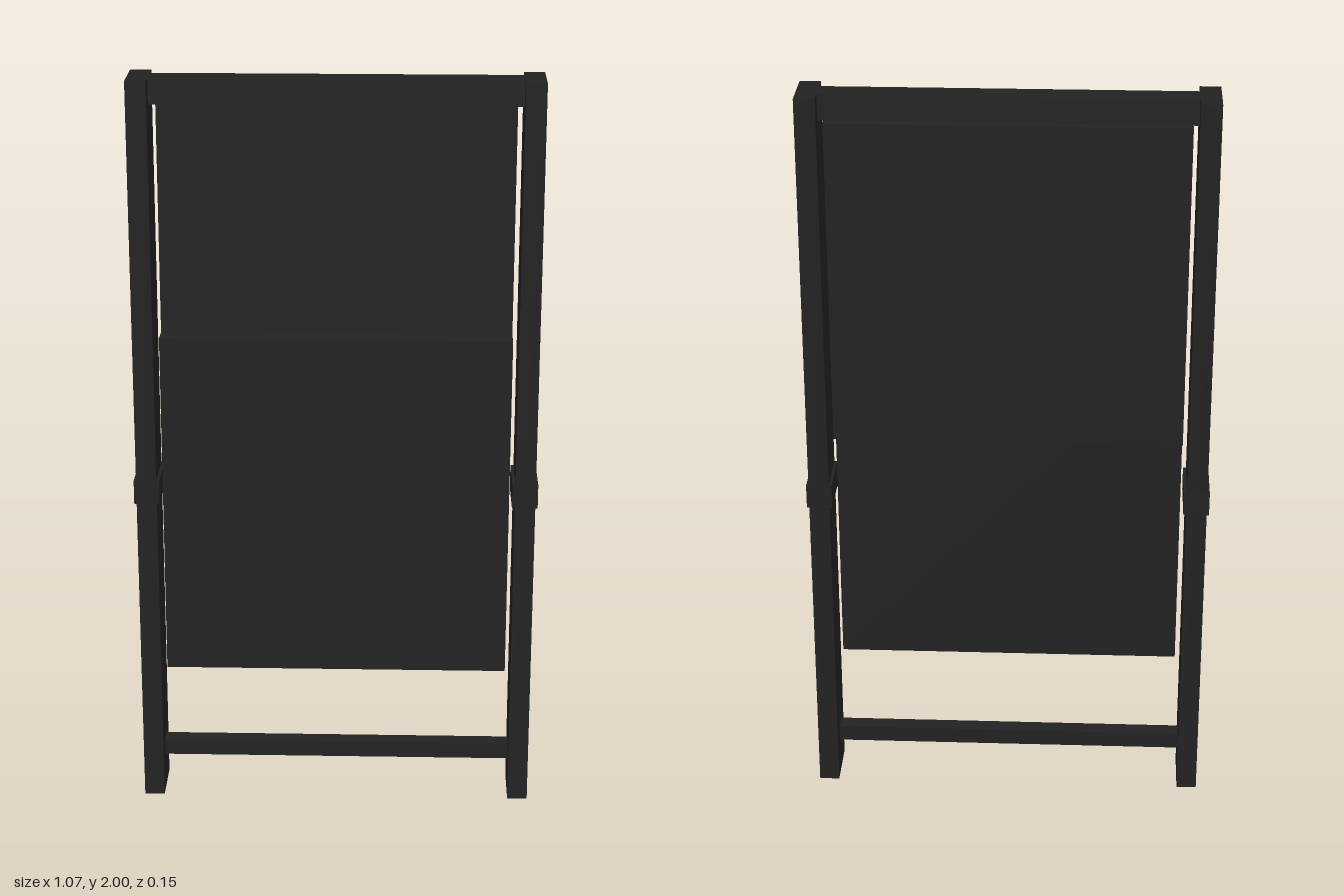
import * as THREE from 'three';

export function createModel() {
  const group = new THREE.Group();
  const black = new THREE.MeshStandardMaterial({ color: 0x222222 });
  black.name = 'matt black';

  // Box given by its lower and upper limits on each axis
  function box(name, [x0, x1], [y0, y1], [z0, z1]) {
    const mesh = new THREE.Mesh(new THREE.BoxGeometry(x1 - x0, y1 - y0, z1 - z0), black);
    mesh.position.set((x0 + x1) / 2, (y0 + y1) / 2, (z0 + z1) / 2);
    mesh.name = name;
    group.add(mesh);
  }

  // Side posts, each wrapped by a thin clamp band
  for (const [side, s] of [['left', 1], ['right', -1]]) {
    const span = (a, b) => (s > 0 ? [a, b] : [-b, -a]);
    box(side + 'Post', span(0.475, 0.529), [0, 2], [-0.072, 0.072]);
    box(side + 'Band', span(0.467, 0.535), [0.865, 0.93], [-0.075, 0.075]);
  }

  // Cross rails
  box('topRail', [-0.475, 0.475], [1.932, 2], [-0.032, 0.032]);
  box('bottomRail', [-0.475, 0.475], [0.098, 0.143], [-0.022, 0.022]);

  // Two overlapping panels: upper one behind, lower one in front
  box('upperPanel', [-0.46, 0.46], [1.06, 1.932], [-0.055, -0.003]);
  box('lowerPanel', [-0.46, 0.46], [0.38, 1.32], [0.003, 0.055]);

  return group;
}
